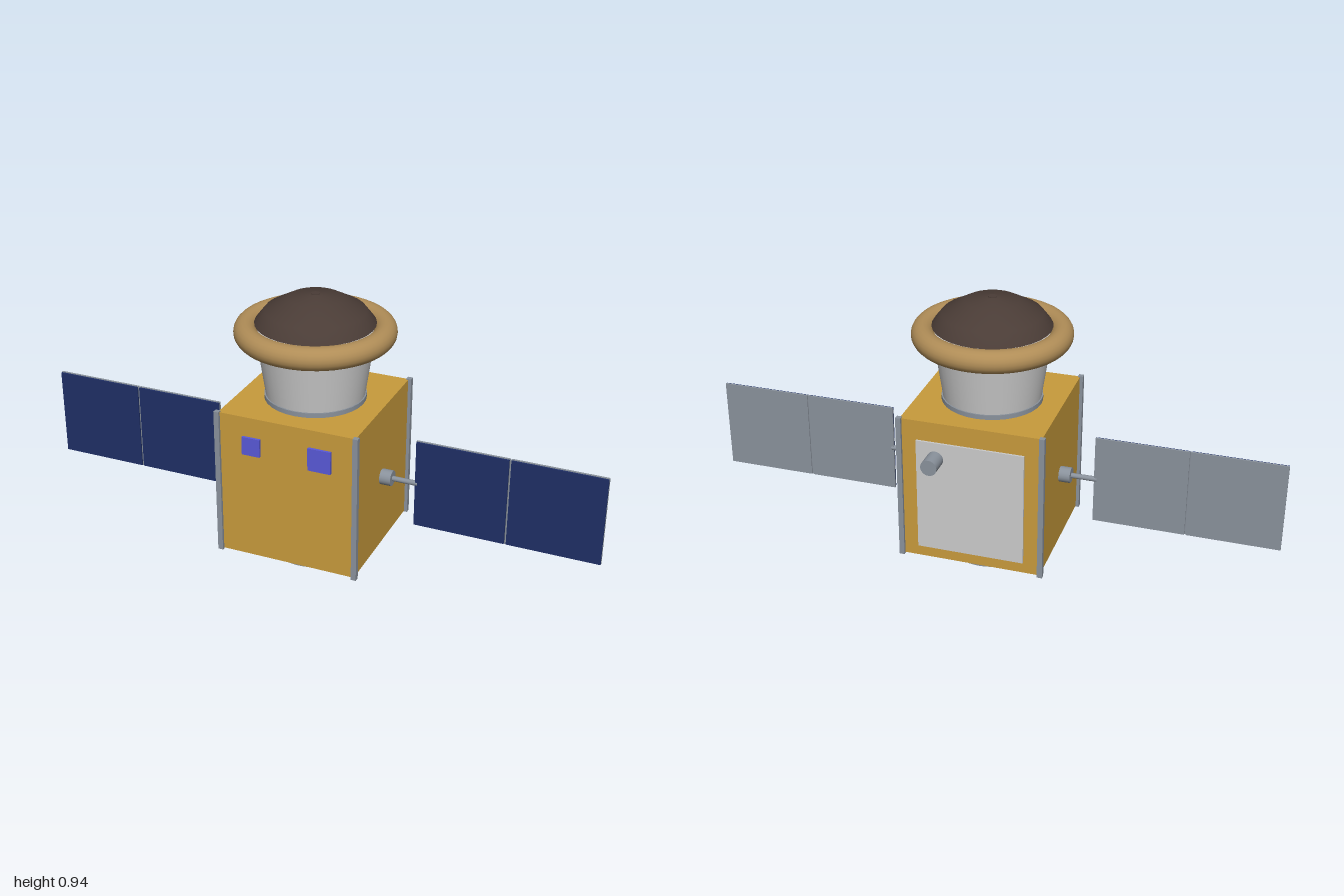
import * as THREE from 'three';

const mat = (color, side = THREE.FrontSide) => new THREE.MeshStandardMaterial({ color, side });

export function createModel() {
  const root = new THREE.Group();
  root.name = 'spacecraft';
  const craft = new THREE.Group();
  craft.name = 'craft';
  craft.position.z = 0.023; // body axis sits slightly forward
  root.add(craft);

  const gold = mat(0xc89b3c), metal = mat(0x8a929c), navy = mat(0x1f2f66);
  const pale = mat(0xcccccc), blue = mat(0x5a5ad8);
  const tan = mat(0xb08d57), brown = mat(0x4a3c36, THREE.DoubleSide);

  const add = (name, geometry, material, x = 0, y = 0, z = 0, parent = craft) => {
    const mesh = new THREE.Mesh(geometry, material);
    mesh.name = name;
    mesh.position.set(x, y, z);
    parent.add(mesh);
    return mesh;
  };
  const box = (w, h, d) => new THREE.BoxGeometry(w, h, d);
  const cyl = (rTop, rBottom, h, n = 32) => new THREE.CylinderGeometry(rTop, rBottom, h, n);

  // Foil-wrapped body with a rail on each vertical edge
  add('body', box(0.484, 0.515, 0.484), gold, 0, 0.3225, 0);
  for (const sx of [-1, 1]) for (const sz of [-1, 1])
    add('cornerRail', box(0.018, 0.522, 0.018), metal, sx * 0.244, 0.3225, sz * 0.243);

  // Open docking ring underneath
  const ring = new THREE.Shape().absarc(0, 0, 0.154, 0, Math.PI * 2);
  ring.holes.push(new THREE.Path().absarc(0, 0, 0.138, 0, Math.PI * 2, true));
  const ringGeometry = new THREE.ExtrudeGeometry(ring, { depth: 0.067, bevelEnabled: false, curveSegments: 40 });
  ringGeometry.rotateX(-Math.PI / 2);
  add('adapterRing', ringGeometry, metal);
  for (const s of [-1, 1])
    add('ringLatch', box(0.03, 0.05, 0.03), metal, s * 0.112, 0.043, -s * 0.109);

  // Flared capsule neck, inflated ring and dome
  add('neckFlange', cyl(0.171, 0.171, 0.018), metal, 0, 0.587, 0);
  add('neck', cyl(0.198, 0.166, 0.22, 40), pale, 0, 0.705, 0);
  const torus = new THREE.TorusGeometry(0.229, 0.039, 20, 56);
  torus.rotateX(Math.PI / 2);
  add('inflatedRing', torus, tan, 0, 0.816, 0);
  const profile = [[0.2, 0.845], [0.193, 0.855], [0.167, 0.888], [0.09, 0.93], [0.015, 0.943]]
    .map(([r, y]) => new THREE.Vector2(r, y));
  add('dome', new THREE.LatheGeometry(profile, 32), brown);
  add('domeCap', cyl(0.015, 0.015, 0.006, 16), brown, 0, 0.942, 0);

  // Front sensors
  add('smallSensor', box(0.064, 0.064, 0.016), blue, -0.122, 0.479, 0.243);
  add('largeSensor', box(0.08, 0.08, 0.016), blue, 0.12, 0.478, 0.243);

  // Back radiator and thruster
  add('radiator', box(0.37, 0.405, 0.016), pale, 0, 0.3075, -0.241);
  const thruster = cyl(0.028, 0.028, 0.085, 24);
  thruster.rotateX(Math.PI / 2);
  add('thruster', thruster, metal, 0.118, 0.452, -0.272);

  // Solar wings: hub, boom and two hinged panels on each side
  for (const s of [-1, 1]) {
    const wing = new THREE.Group();
    wing.name = s > 0 ? 'leftWing' : 'rightWing';
    wing.position.y = 0.325;
    craft.add(wing);
    const hub = cyl(0.027, 0.027, 0.042, 20).rotateZ(Math.PI / 2);
    const boom = cyl(0.009, 0.009, 0.13, 12).rotateZ(Math.PI / 2);
    add('wingHub', hub, metal, s * 0.26, 0, 0, wing);
    add('wingBoom', boom, metal, s * 0.305, 0, 0, wing);
    for (const x of [0.5195, 0.8415]) {
      add('panelBacking', box(0.317, 0.316, 0.007), metal, s * x, 0, -0.0025, wing);
      add('solarCells', box(0.315, 0.312, 0.006), navy, s * x, 0, 0.004, wing);
    }
    add('panelHinge', cyl(0.004, 0.004, 0.312, 8), metal, s * 0.6805, 0, 0, wing);
  }
  return root;
}
